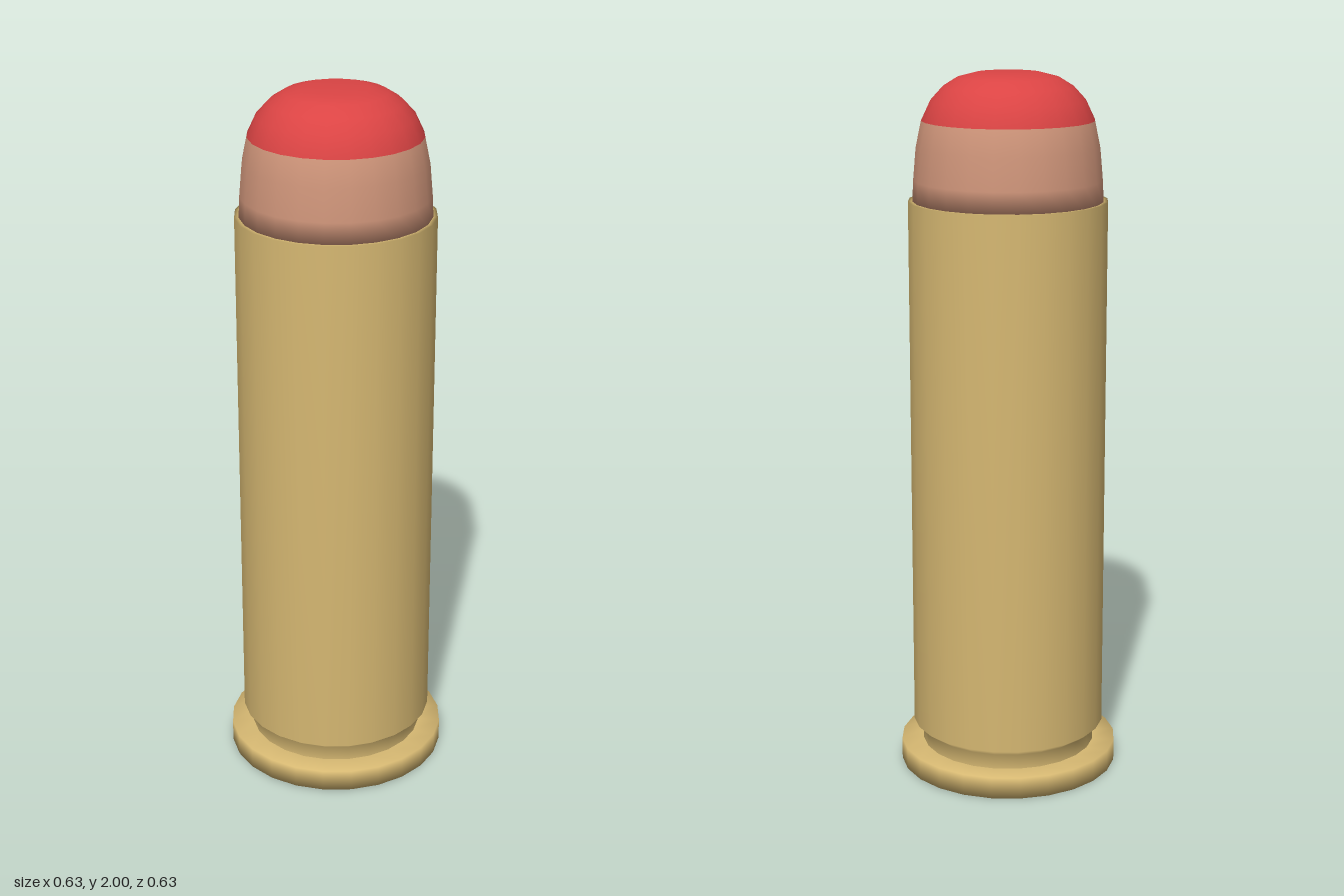
import * as THREE from 'three';

const SIDES = 24;
const brass = new THREE.MeshStandardMaterial({ color: 0xd6b872 });
brass.name = 'brass';
const copper = new THREE.MeshStandardMaterial({ color: 0xcf957a });
copper.name = 'copper';
const red = new THREE.MeshStandardMaterial({ color: 0xdb4444 });
red.name = 'red';

// Smooth turned part from [radius, height] pairs, listed bottom to top
function turned(name, profile, material) {
  const points = profile.map(([r, y]) => new THREE.Vector2(r, y));
  const mesh = new THREE.Mesh(new THREE.LatheGeometry(points, SIDES), material);
  mesh.name = name;
  return mesh;
}

export function createModel() {
  const group = new THREE.Group();
  group.name = 'cartridge';

  // Flanged base
  group.add(turned('rim', [[0, 0], [0.314, 0], [0.314, 0.062], [0.25, 0.062]], brass));

  // Extraction groove, straight wall and mouth of the case
  group.add(turned('case', [
    [0.25, 0.06], [0.25, 0.105], [0.277, 0.125], [0.277, 1.652], [0.262, 1.652],
  ], brass));

  // Rounded bullet with a coloured tip, one smooth surface
  const profile = [
    [0, 1.645], [0.265, 1.645], [0.262, 1.71], [0.254, 1.8], [0.239, 1.872],
    [0.214, 1.925], [0.18, 1.962], [0.14, 1.987], [0.09, 2], [0, 2],
  ];
  const bullet = turned('bullet', profile, [copper, red]);
  const bands = profile.length - 1;
  const copperBands = 4;
  for (let i = 0; i < SIDES; i++) {
    const start = i * bands * 6;
    bullet.geometry.addGroup(start, copperBands * 6, 0);
    bullet.geometry.addGroup(start + copperBands * 6, (bands - copperBands) * 6, 1);
  }
  group.add(bullet);

  return group;
}
